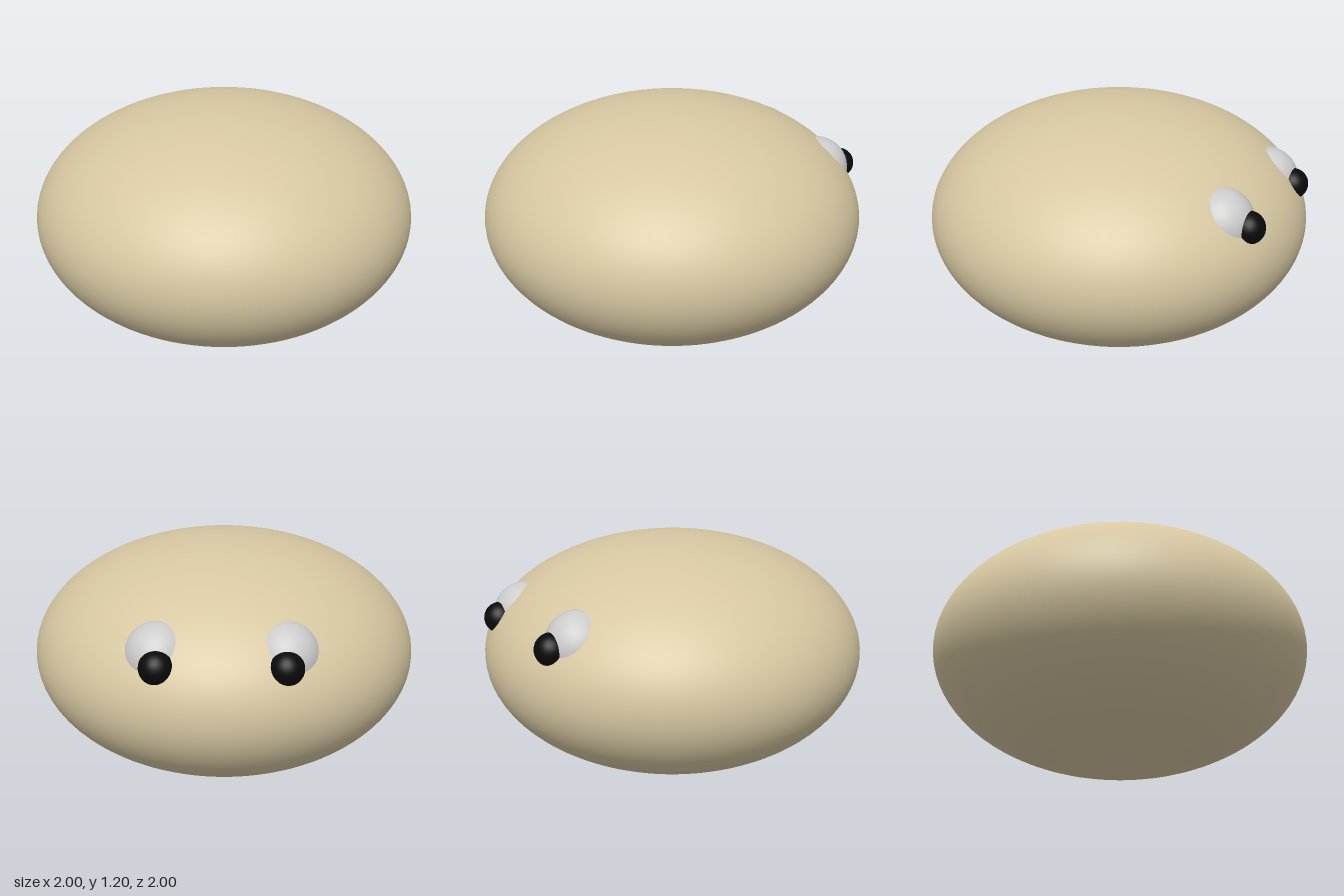
import * as THREE from 'three';

export function createModel() {
  const model = new THREE.Group();

  const ball = (name, radius, color, x, y, z, segments) => {
    const mesh = new THREE.Mesh(
      new THREE.SphereGeometry(radius, segments, segments / 2),
      new THREE.MeshStandardMaterial({ color })
    );
    mesh.name = name;
    mesh.position.set(x, y, z);
    return mesh;
  };

  // Flattened round body
  const body = ball('body', 1, 0xd6c7a1, 0, 0.6, 0, 96);
  body.scale.y = 0.6;
  model.add(body);

  // Eyes sunk into the upper back, each with a pupil facing -z
  for (const [side, s] of [['left', 1], ['right', -1]]) {
    const eye = new THREE.Group();
    eye.name = `${side}Eye`;
    eye.add(
      ball('eyeball', 0.164, 0xcccccc, s * 0.29, 0.823, -0.72, 48),
      ball('pupil', 0.08, 0x0a0a0a, s * 0.29, 0.823, -0.864, 32)
    );
    model.add(eye);
  }

  return model;
}
